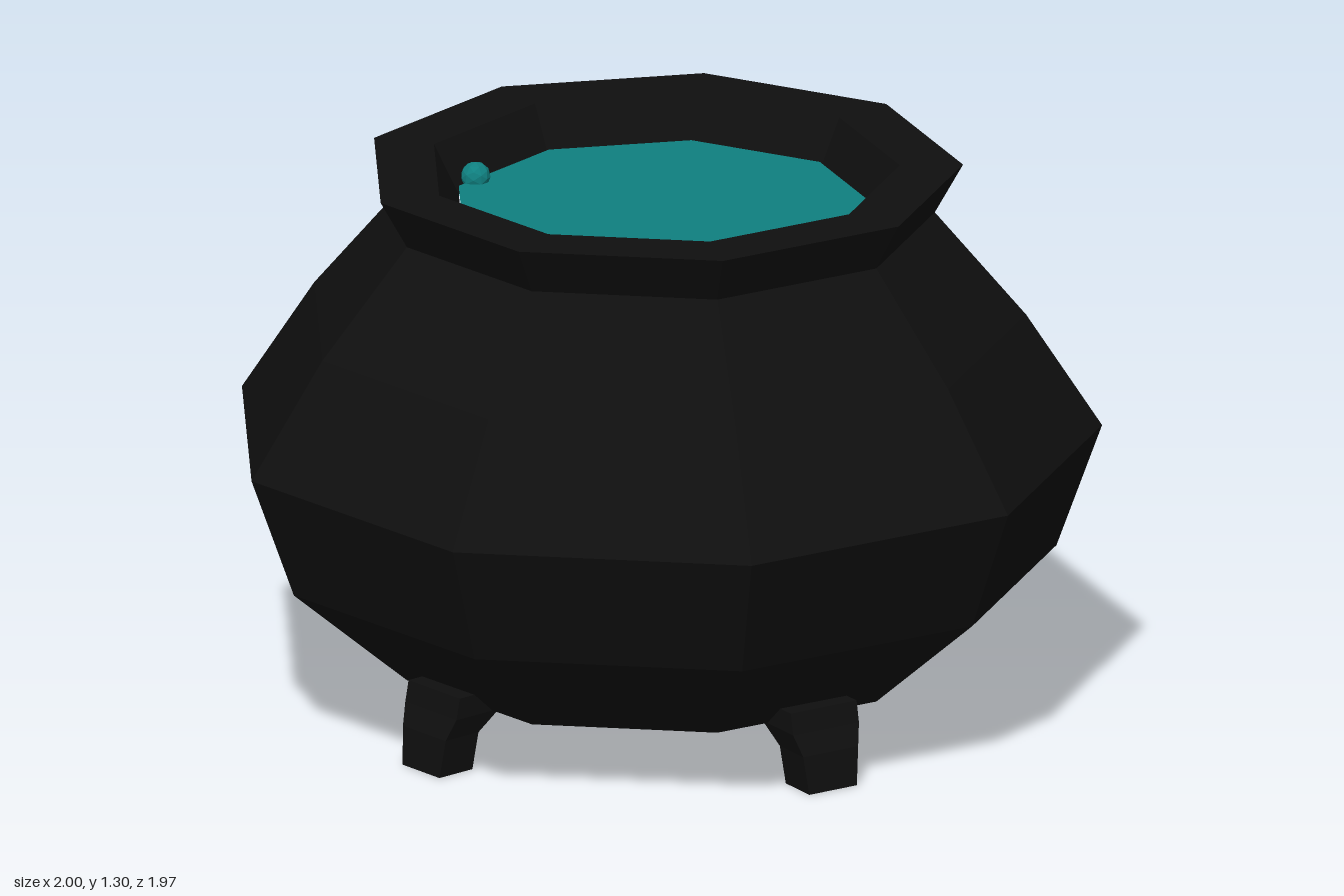
import * as THREE from 'three';

const SIDES = 9;
const iron = new THREE.MeshStandardMaterial({ color: 0x0f0f0f });
iron.name = 'blackIron';
const brew = new THREE.MeshStandardMaterial({ color: 0x0f8080 });
brew.name = 'tealBrew';

// Faceted mesh with one normal per face
function facetedMesh(name, geometry, material) {
  const flat = geometry.index ? geometry.toNonIndexed() : geometry;
  flat.computeVertexNormals();
  const mesh = new THREE.Mesh(flat, material);
  mesh.name = name;
  return mesh;
}

// Leg cross-sections from foot to top: height, inner radius, outer radius, width
const LEG = [
  [0, 0.63, 0.73, 0.13],
  [0.09, 0.62, 0.72, 0.15],
  [0.14, 0.57, 0.7, 0.18],
  [0.19, 0.5, 0.69, 0.18],
];

function legGeometry() {
  const geo = new THREE.BoxGeometry(1, 1, 1, 1, LEG.length - 1, 1);
  const pos = geo.attributes.position;
  for (let i = 0; i < pos.count; i++) {
    const row = Math.round((pos.getY(i) + 0.5) * (LEG.length - 1));
    const [y, inner, outer, width] = LEG[row];
    pos.setXYZ(i, pos.getX(i) * width, y, pos.getZ(i) > 0 ? outer : inner);
  }
  return geo;
}

export function createModel() {
  const model = new THREE.Group();
  model.name = 'cauldron';

  const pot = new THREE.Group();
  pot.name = 'pot';
  pot.position.z = 0.03;
  model.add(pot);

  // Nine-sided body, flared rim and inner wall in one profile
  const profile = [
    [0, 0.14], [0.63, 0.14], [0.91, 0.38], [1.015, 0.67], [0.84, 0.94],
    [0.63, 1.19], [0.695, 1.305], [0.55, 1.305], [0.49, 1.19],
  ].map(([r, y]) => new THREE.Vector2(r, y));
  pot.add(facetedMesh('body', new THREE.LatheGeometry(profile, SIDES, Math.PI), iron));

  // Liquid surface
  const surface = new THREE.CircleGeometry(0.49, SIDES, Math.PI / 2).rotateX(-Math.PI / 2);
  const liquid = facetedMesh('liquid', surface, brew);
  liquid.position.y = 1.21;
  pot.add(liquid);

  // Small bubble at the edge of the liquid
  const bubble = facetedMesh('bubble', new THREE.IcosahedronGeometry(0.035, 1), brew);
  bubble.position.set(-0.45, 1.22, -0.13);
  pot.add(bubble);

  // Four splayed legs
  const names = ['frontLeftLeg', 'backLeftLeg', 'backRightLeg', 'frontRightLeg'];
  [41, 139, -139, -41].forEach((degrees, i) => {
    const leg = facetedMesh(names[i], legGeometry(), iron);
    leg.rotation.y = THREE.MathUtils.degToRad(degrees);
    pot.add(leg);
  });

  return model;
}
